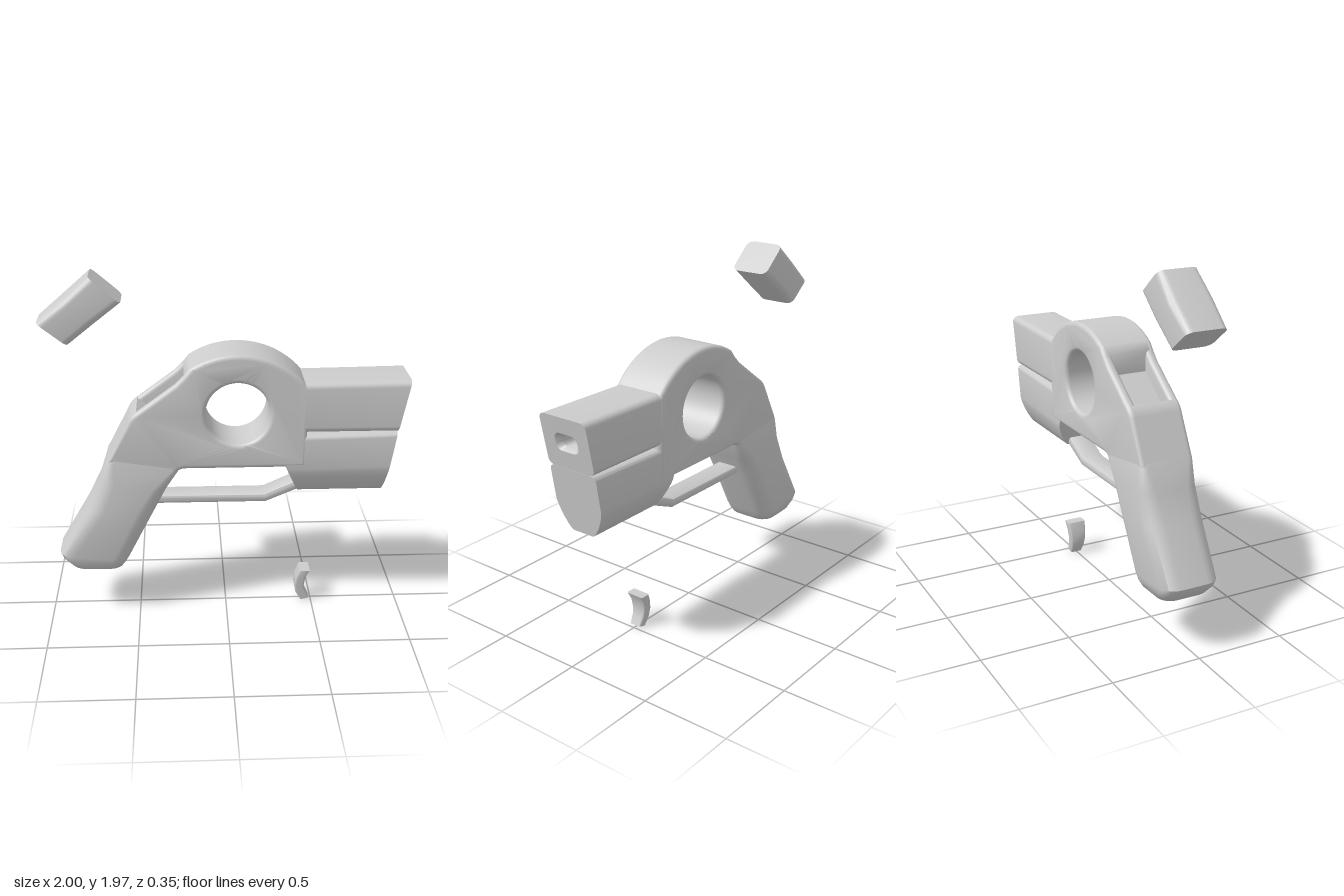
import * as THREE from 'three';
import { toCreasedNormals } from 'three/addons/utils/BufferGeometryUtils.js';

const material = new THREE.MeshStandardMaterial({ color: 0xcccccc, roughness: 0.7 });

function addMesh(parent, name, geometry, crease = 0.7) {
  const mesh = new THREE.Mesh(toCreasedNormals(geometry, crease), material);
  mesh.name = name;
  parent.add(mesh);
  return mesh;
}

// Rounded-rectangle section spanning a -> b in the xy plane, half width w in z.
// chamfer = [length, width] replaces the rounding at the a end.
function ring(a, b, w, r, chamfer) {
  const A = new THREE.Vector2(...a), B = new THREE.Vector2(...b);
  const mid = A.clone().add(B).multiplyScalar(0.5);
  const half = A.distanceTo(B) / 2;
  const dir = B.clone().sub(A).normalize();
  const pts = [], n = 6;
  for (let q = 0; q < 4; q++) {
    const su = q === 0 || q === 3 ? 1 : -1, sz = q < 2 ? 1 : -1;
    const [ru, rw] = chamfer && su < 0 ? chamfer : [r, r];
    const p = chamfer && su < 0 ? 1.5 : 1;
    for (let j = 0; j <= n; j++) {
      const t = (q + j / n) * Math.PI / 2;
      const u = su * (half - ru + ru * Math.abs(Math.cos(t)) ** p);
      const z = sz * (w - rw + rw * Math.abs(Math.sin(t)) ** p);
      pts.push(new THREE.Vector3(mid.x + dir.x * u, mid.y + dir.y * u, z));
    }
  }
  return pts;
}

// Skin a list of sections and cap both ends
function loft(rings) {
  const out = [];
  const tri = (...v) => v.forEach((p) => out.push(p.x, p.y, p.z));
  const n = rings[0].length;
  const centre = (r) => r.reduce((s, p) => s.add(p), new THREE.Vector3()).divideScalar(n);
  const first = rings[0], last = rings[rings.length - 1];
  const c0 = centre(first), c1 = centre(last);
  for (let i = 0; i < n; i++) {
    const j = (i + 1) % n;
    for (let k = 0; k < rings.length - 1; k++) {
      const a = rings[k], b = rings[k + 1];
      tri(a[i], a[j], b[j]);
      tri(a[i], b[j], b[i]);
    }
    tri(c0, first[j], first[i]);
    tri(c1, last[i], last[j]);
  }
  const g = new THREE.BufferGeometry();
  g.setAttribute('position', new THREE.Float32BufferAttribute(out, 3));
  return g;
}

// Side outline of the frame with its round window; slotted adds the rear recess
function frameShape(slotted) {
  const s = new THREE.Shape();
  s.moveTo(-0.655, 0.945);
  s.lineTo(-0.275, 0.88);
  s.quadraticCurveTo(-0.26, 0.9, -0.22, 0.9);
  s.lineTo(0.44, 0.9);
  s.lineTo(0.44, 1.37);
  s.absarc(0.06, 1.071, 0.479, 0.687, 2.145, false);
  s.lineTo(-0.23, 1.435);
  if (slotted) {
    s.lineTo(-0.23, 1.32);
    s.lineTo(-0.42, 1.18);
  } else {
    s.lineTo(-0.28, 1.385);
  }
  s.lineTo(-0.49, 1.23);
  s.quadraticCurveTo(-0.52, 1.21, -0.535, 1.18);
  s.closePath();
  const hole = new THREE.Path();
  hole.absarc(0.06, 1.215, 0.175, 0, Math.PI * 2, true);
  s.holes.push(hole);
  return s;
}

export function createModel() {
  const model = new THREE.Group();
  model.name = 'toyBlaster';

  // Frame: slotted core between two cheeks with rounded edges
  const frame = new THREE.Group();
  frame.name = 'frame';
  model.add(frame);
  const core = new THREE.ExtrudeGeometry(frameShape(true), { depth: 0.25, bevelEnabled: false, curveSegments: 40 });
  addMesh(frame, 'frameCore', core.translate(0, 0, -0.125));
  for (const [name, z] of [['leftCheek', 0.125], ['rightCheek', -0.13]]) {
    const cheek = new THREE.ExtrudeGeometry(frameShape(false), {
      depth: 0.005, bevelThickness: 0.025, bevelSize: 0.025, bevelOffset: -0.025, bevelSegments: 4, curveSegments: 40,
    });
    addMesh(frame, name, cheek.translate(0, 0, z));
  }

  // Barrel with a slanted muzzle and a sunken bore
  addMesh(model, 'barrel', loft([
    ring([0.36, 1.1], [0.36, 1.383], 0.153, 0.035),
    ring([0.94, 1.1], [1.0, 1.392], 0.153, 0.035),
    ring([0.96, 1.2], [0.98, 1.3], 0.075, 0.035),
    ring([0.935, 1.218], [0.945, 1.285], 0.05, 0.025),
    ring([0.85, 1.218], [0.85, 1.285], 0.045, 0.025),
  ]));

  // Block under the barrel, narrowing towards its base
  const keel = [0.17, 0.085];
  addMesh(model, 'underBarrel', loft([
    ring([0.4, 0.73], [0.25, 1.08], 0.153, 0.03, keel),
    ring([0.875, 0.73], [0.938, 1.098], 0.153, 0.03, keel),
  ]));

  // Grip
  addMesh(model, 'grip', loft([
    ring([-0.56, 1.08], [-0.22, 1.02], 0.13, 0.04),
    ring([-0.66, 0.945], [-0.265, 0.885], 0.158, 0.04),
    ring([-0.7, 0.82], [-0.335, 0.77], 0.17, 0.08),
    ring([-0.78, 0.66], [-0.405, 0.63], 0.174, 0.1),
    ring([-0.945, 0.38], [-0.55, 0.35], 0.165, 0.09),
    ring([-0.93, 0.345], [-0.57, 0.315], 0.158, 0.085),
    ring([-0.88, 0.292], [-0.59, 0.285], 0.14, 0.075),
    ring([-0.86, 0.281], [-0.61, 0.278], 0.125, 0.07),
  ]));

  // Guard bar between grip and block
  addMesh(model, 'triggerGuard', loft([
    ring([-0.45, 0.655], [-0.45, 0.705], 0.065, 0.015),
    ring([0.225, 0.655], [0.215, 0.705], 0.065, 0.015),
    ring([0.39, 0.725], [0.37, 0.775], 0.065, 0.015),
    ring([0.47, 0.755], [0.45, 0.805], 0.065, 0.015),
  ]));

  // Hammer, set apart from the frame
  addMesh(model, 'hammer', loft([
    ring([-0.84, 1.6], [-1.0, 1.725], 0.115, 0.04),
    ring([-0.7, 1.713], [-0.86, 1.845], 0.124, 0.045),
    ring([-0.555, 1.825], [-0.72, 1.967], 0.115, 0.04),
  ]));

  // Curved trigger, set apart below
  addMesh(model, 'trigger', loft([
    ring([0.43, 0.2], [0.49, 0.2], 0.055, 0.01),
    ring([0.41, 0.15], [0.466, 0.155], 0.05, 0.01),
    ring([0.402, 0.1], [0.458, 0.1], 0.045, 0.01),
    ring([0.411, 0.05], [0.467, 0.06], 0.04, 0.01),
    ring([0.44, 0.0], [0.49, 0.012], 0.035, 0.01),
  ]));

  return model;
}
